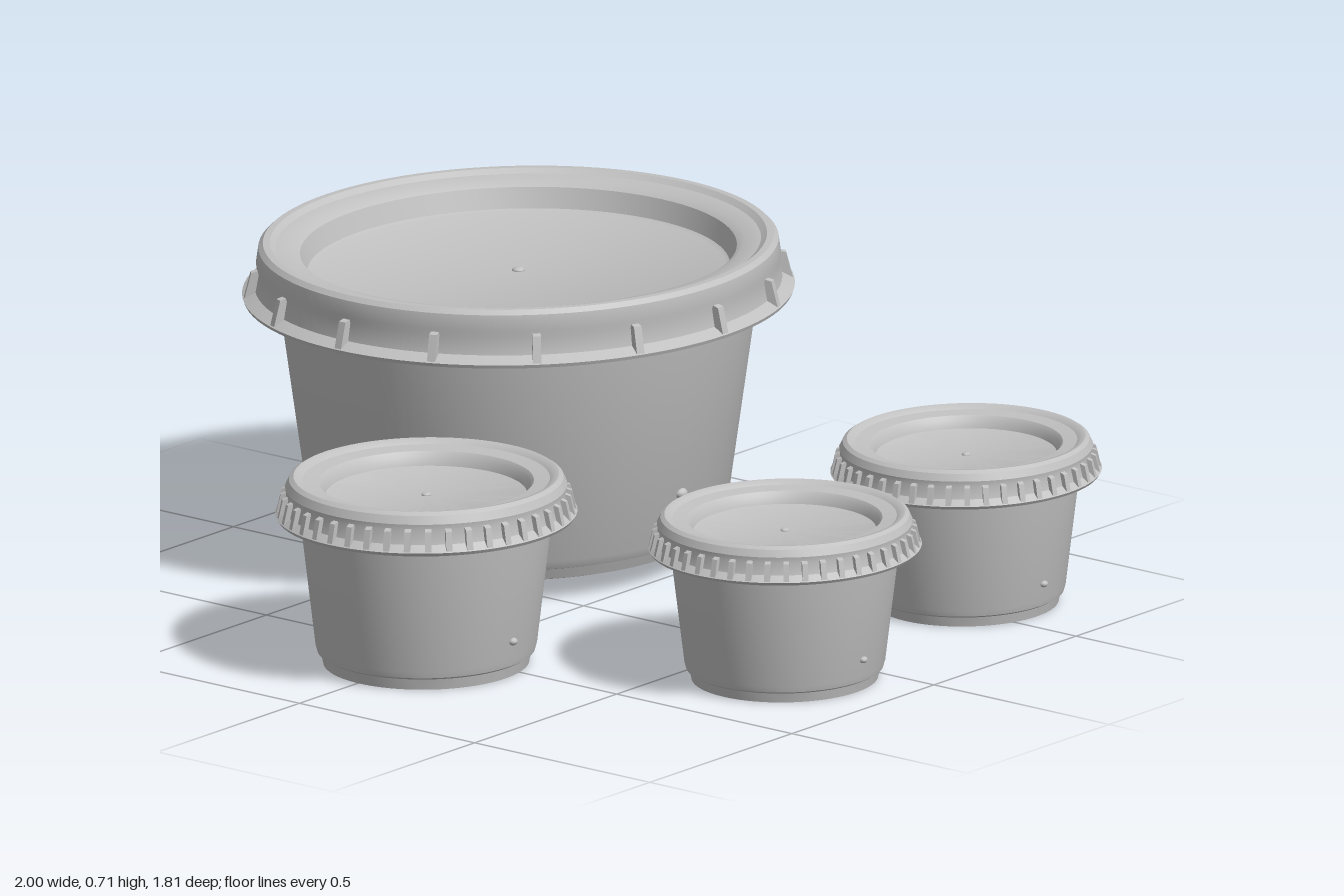
import * as THREE from 'three';
import { mergeGeometries, toCreasedNormals } from 'three/addons/utils/BufferGeometryUtils.js';

const plastic = new THREE.MeshStandardMaterial({ color: 0xc0c0c0 });
plastic.name = 'grey plastic';

function turned(name, profile) {
  const points = profile.map(([r, y]) => new THREE.Vector2(r, y));
  const mesh = new THREE.Mesh(toCreasedNormals(new THREE.LatheGeometry(points, 96), 0.5), plastic);
  mesh.name = name;
  return mesh;
}

// Triangular ribs standing around the skirt of a lid; outline is in (radius, height)
function skirtRibs(outline, count, thickness) {
  const shape = new THREE.Shape(outline.map(([r, y]) => new THREE.Vector2(r, y)));
  const ribs = [];
  for (let i = 0; i < count; i++) {
    const rib = new THREE.ExtrudeGeometry(shape, { depth: thickness, bevelEnabled: false });
    rib.translate(0, 0, -thickness / 2);
    rib.rotateY((i / count) * Math.PI * 2);
    ribs.push(rib);
  }
  const mesh = new THREE.Mesh(mergeGeometries(ribs), plastic);
  mesh.name = 'skirtRibs';
  return mesh;
}

// Small moulding mark, flattened along y
function mark(name, radius, x, y, z = 0, flat = 0.5) {
  const mesh = new THREE.Mesh(new THREE.SphereGeometry(radius, 16, 10), plastic);
  mesh.name = name;
  mesh.scale.y = flat;
  mesh.position.set(x, y, z);
  return mesh;
}

function largeTub() {
  const tub = new THREE.Group();
  tub.name = 'largeTub';
  tub.add(
    turned('tubBody', [
      [0, 0.045], [0.4, 0.045], [0.415, 0.05], [0.425, 0.075], [0.44, 0.08],
      [0.45, 0.1], [0.515, 0.58], [0.52, 0.61],
    ]),
    turned('tubLid', [
      [0.515, 0.6], [0.592, 0.592], [0.595, 0.6], [0.568, 0.615], [0.561, 0.655], [0.565, 0.67],
      [0.56, 0.705], [0.55, 0.715], [0.535, 0.715], [0.522, 0.705],
      [0.485, 0.7], [0.47, 0.69], [0.455, 0.645], [0.445, 0.64], [0, 0.64],
    ]),
    skirtRibs([[0.555, 0.6], [0.592, 0.6], [0.577, 0.66], [0.555, 0.665]], 16, 0.018),
    mark('lidMark', 0.014, 0, 0.641),
    mark('baseMark', 0.014, 0, 0.044),
    mark('baseNub', 0.04, -0.32, 0.043, -0.08, 0.3),
    mark('sideMark', 0.016, 0.462, 0.21, 0, 0.8),
  );
  return tub;
}

function smallCup() {
  const cup = new THREE.Group();
  cup.name = 'smallCup';
  cup.add(
    turned('cupBody', [
      [0, 0.003], [0.215, 0.003], [0.225, 0], [0.23, 0.025], [0.238, 0.03],
      [0.242, 0.045], [0.275, 0.33], [0.277, 0.35],
    ]),
    turned('cupLid', [
      [0.27, 0.345], [0.325, 0.337], [0.33, 0.345], [0.313, 0.36], [0.306, 0.39], [0.308, 0.405],
      [0.3, 0.423], [0.29, 0.43], [0.28, 0.428], [0.27, 0.42],
      [0.235, 0.415], [0.226, 0.405], [0.22, 0.385], [0.215, 0.383], [0, 0.383],
    ]),
    skirtRibs([[0.3, 0.345], [0.328, 0.345], [0.318, 0.39], [0.3, 0.397]], 44, 0.014),
    mark('lidMark', 0.011, 0, 0.384),
    mark('baseMark', 0.011, 0, 0.004, 0, 0.35),
    mark('sideMark', 0.011, 0.247, 0.09, 0, 0.8),
  );
  return cup;
}

export function createModel() {
  const model = new THREE.Group();
  model.name = 'lidded containers';

  const tub = largeTub();
  tub.position.set(-0.405, 0, -0.27);
  tub.scale.z = 1.075;
  model.add(tub);

  // Cups: x, z, scale x, y, z
  const cups = [
    [0.005, 0.56, 1, 1, 1.04],
    [0.7, 0.155, 0.905, 0.88, 0.945],
    [0.632, -0.567, 0.895, 0.88, 0.94],
  ];
  cups.forEach(([x, z, sx, sy, sz], i) => {
    const cup = smallCup();
    cup.name = `smallCup${i + 1}`;
    cup.position.set(x, 0, z);
    cup.scale.set(sx, sy, sz);
    model.add(cup);
  });
  return model;
}
